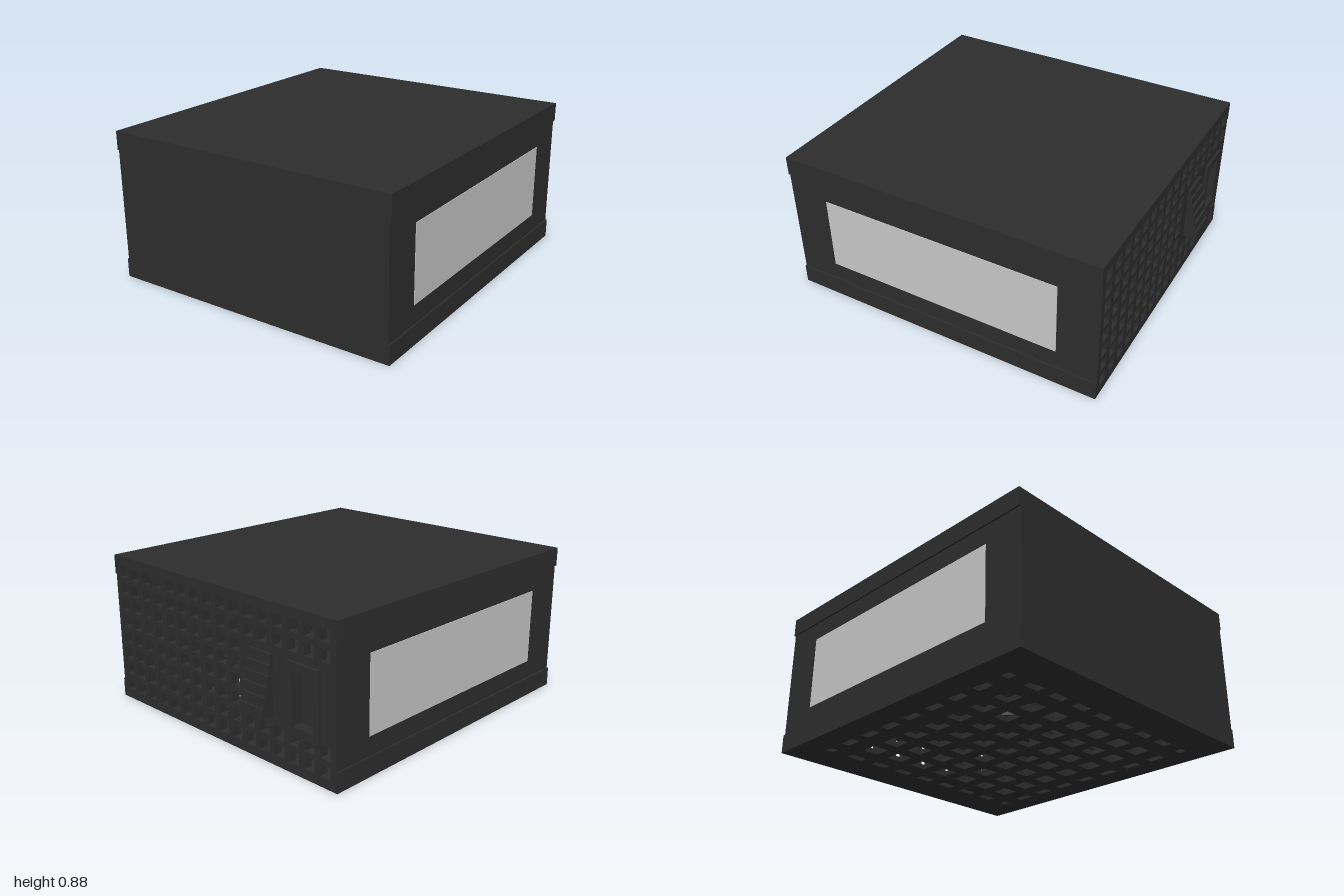
import * as THREE from 'three';

export function createModel() {
  const root = new THREE.Group();
  const casing = new THREE.MeshStandardMaterial({ color: 0x2d2d2d });
  casing.name = 'charcoal casing';
  const pale = new THREE.MeshStandardMaterial({ color: 0xc8c8c8 });
  pale.name = 'pale grey';

  const add = (name, geo, mat = casing, parent = root) => {
    const mesh = new THREE.Mesh(geo, mat);
    mesh.name = name;
    parent.add(mesh);
    return mesh;
  };
  // Box given by its minimum and maximum corners
  const box = (name, x0, x1, y0, y1, z0, z1, mat, parent) =>
    add(name, new THREE.BoxGeometry(x1 - x0, y1 - y0, z1 - z0)
      .translate((x0 + x1) / 2, (y0 + y1) / 2, (z0 + z1) / 2), mat, parent);
  const rect = (x0, x1, y0, y1, Type = THREE.Path) => new Type([
    new THREE.Vector2(x0, y0), new THREE.Vector2(x1, y0),
    new THREE.Vector2(x1, y1), new THREE.Vector2(x0, y1)]);
  // Flat plate with rectangular holes, in the xy plane
  const plate = (outline, holes, depth) => {
    const shape = rect(...outline, THREE.Shape);
    shape.holes = holes.map(h => rect(...h));
    return new THREE.ExtrudeGeometry(shape, { depth, bevelEnabled: false });
  };

  // Shell: lid, front, sides with raised top and bottom flanges
  box('lid', -0.89, 0.89, 0.85, 0.88, -0.92, 1);
  box('frontPanel', -0.88, 0.88, 0.03, 0.85, 0.97, 1);
  for (const s of [-1, 1]) {
    const side = new THREE.Group();
    side.name = s > 0 ? 'leftSide' : 'rightSide';
    root.add(side);
    const slab = (name, a, b, y0, y1, z0, z1, mat) =>
      box(name, Math.min(s * a, s * b), Math.max(s * a, s * b), y0, y1, z0, z1, mat, side);
    slab('sideWall', 0.85, 0.88, 0.03, 0.85, -0.92, 1);
    slab('upperFlange', 0.86, 0.89, 0.77, 0.85, -0.92, 1);
    slab('lowerFlange', 0.86, 0.89, 0.03, 0.11, -0.92, 1);
    slab('sideLabel', 0.88, 0.883, 0.22, 0.66, -0.68, 0.76, pale);
  }

  // Bottom fan grille: 9 x 9 openings, narrower around the rim
  const floorHoles = [];
  for (let i = -4; i <= 4; i++) for (let j = -4; j <= 4; j++) {
    const w = Math.abs(i) === 4 ? 0.025 : 0.05;
    const h = Math.abs(j) === 4 ? 0.025 : 0.05;
    const x = i * 0.178, y = -0.04 + j * 0.178;
    floorHoles.push([x - w, x + w, y - h, y + h]);
  }
  add('bottomGrille', plate([-0.89, 0.89, -1, 0.92], floorHoles, 0.03).rotateX(-Math.PI / 2));

  // Back panel: square vents, leaving room for the switch and socket
  const backHoles = [[-0.74, -0.60, 0.27, 0.56]];
  for (let i = 0; i < 16; i++) for (let j = 0; j < 8; j++) {
    if (i < 6 && j > 1 && j < 6) continue;
    const x = -0.81 + i * 0.108, y = 0.09 + j * 0.1;
    backHoles.push([x - 0.034, x + 0.034, y - 0.034, y + 0.034]);
  }
  add('backGrille', plate([-0.85, 0.85, 0.03, 0.85], backHoles, 0.05)).position.z = -0.92;

  // Power socket: raised frame around a recess
  add('socketFrame', plate([-0.78, -0.56, 0.22, 0.61], [[-0.74, -0.60, 0.27, 0.56]], 0.015))
    .position.z = -0.935;
  box('socketFloor', -0.76, -0.58, 0.25, 0.58, -0.87, -0.85);

  // Switch: stepped rocker, deepest at the bottom
  for (let i = 0; i < 6; i++) {
    const y = 0.28 + i * 0.055;
    box('switchStep', -0.45, -0.28, y, y + 0.055, -1 + i * 0.013, -0.915);
  }

  // Fan behind the grille
  const fan = new THREE.Group();
  fan.name = 'fan';
  fan.position.set(0, 0.2, 0.04);
  root.add(fan);
  add('fanHub', new THREE.CylinderGeometry(0.2, 0.2, 0.12, 24), casing, fan);
  for (let i = 0; i < 9; i++) {
    const pivot = new THREE.Group();
    pivot.name = 'fanBlade';
    pivot.rotation.y = i * Math.PI * 2 / 9;
    fan.add(pivot);
    add('blade', new THREE.BoxGeometry(0.54, 0.015, 0.26).rotateX(0.4).translate(0.44, 0, 0), casing, pivot);
  }

  // Small pale fittings glimpsed through the grille
  for (const [x, z] of [[0.61, -0.14], [0.37, -0.12], [0.61, 0.04], [-0.2, 0.22], [-0.2, -0.3], [0.4, 0.22]])
    box('innerFitting', x - 0.025, x + 0.025, 0.05, 0.08, z - 0.025, z + 0.025, pale);

  return root;
}
